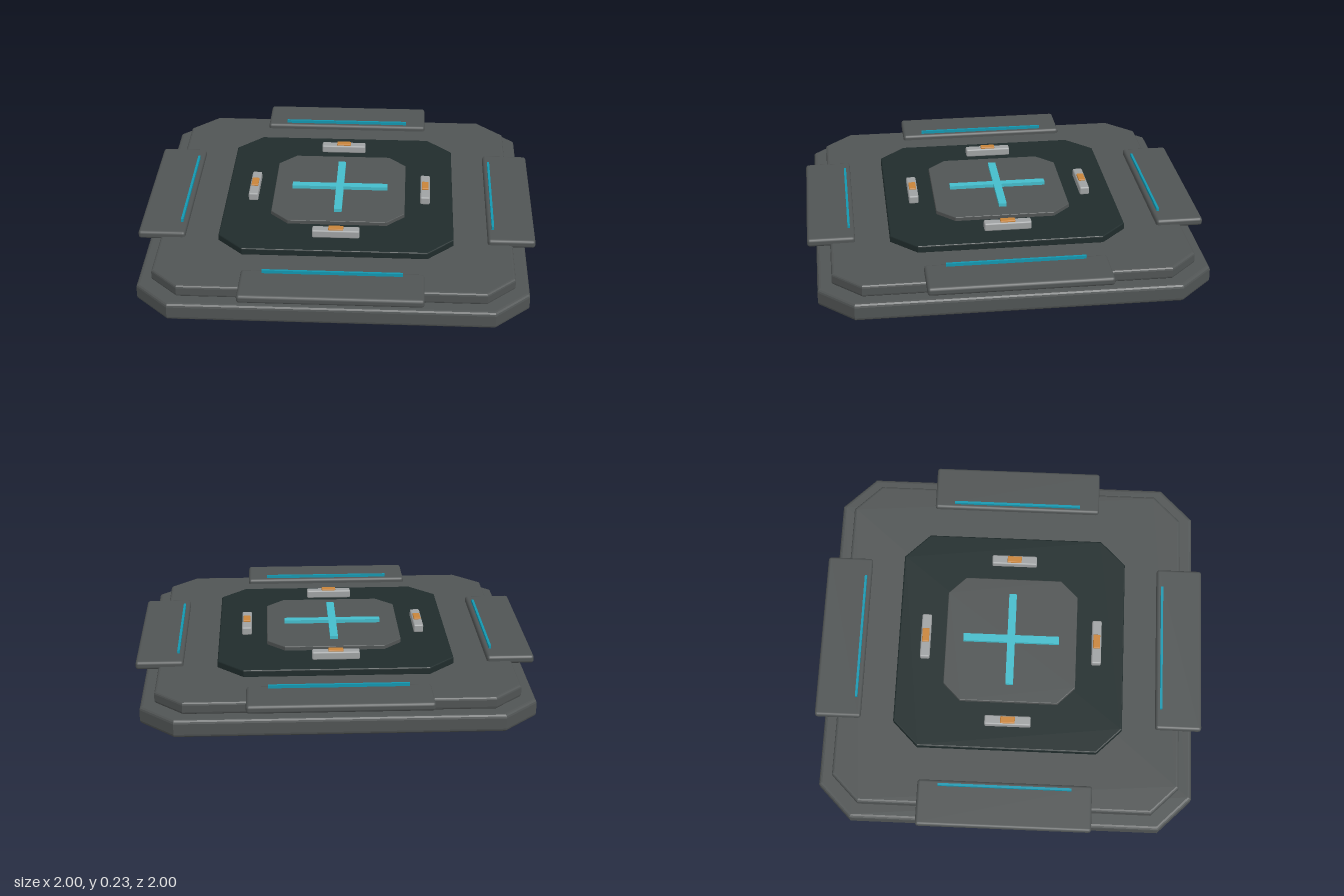
import * as THREE from 'three';
import { RoundedBoxGeometry } from 'three/addons/geometries/RoundedBoxGeometry.js';

function material(name, color) {
  const m = new THREE.MeshStandardMaterial({ color });
  m.name = name;
  return m;
}

// Square slab with cut corners and softened rims, from y0 to y1
function slab(name, half, cut, y0, y1, bevel, mat) {
  const h = half - bevel;
  const c = cut - bevel * 0.59;
  const shape = new THREE.Shape([
    [h, -h + c], [h, h - c], [h - c, h], [-h + c, h],
    [-h, h - c], [-h, -h + c], [-h + c, -h], [h - c, -h],
  ].map(([x, y]) => new THREE.Vector2(x, y)));
  const geo = new THREE.ExtrudeGeometry(shape, {
    depth: y1 - y0 - 2 * bevel, bevelEnabled: true,
    bevelThickness: bevel, bevelSize: bevel, bevelSegments: 3,
  });
  geo.rotateX(-Math.PI / 2);
  geo.translate(0, y0 + bevel, 0);
  const mesh = new THREE.Mesh(geo, mat);
  mesh.name = name;
  return mesh;
}

// Box placed by its lower and upper heights; a radius rounds its edges
function block(name, w, d, y0, y1, z, mat, radius = 0) {
  const h = y1 - y0;
  const geo = radius
    ? new RoundedBoxGeometry(w, h, d, 2, radius)
    : new THREE.BoxGeometry(w, h, d);
  const mesh = new THREE.Mesh(geo, mat);
  mesh.name = name;
  mesh.position.set(0, (y0 + y1) / 2, z);
  return mesh;
}

export function createModel() {
  const grey = material('gunmetal grey', 0x505454);
  const dark = material('dark slate', 0x202c2c);
  const cyan = material('bright cyan', 0x45bccb);
  const teal = material('deep teal', 0x1397b0);
  const silver = material('light grey', 0x9fa2a3);
  const amber = material('amber', 0xc8843a);

  const model = new THREE.Group();
  model.name = 'landingPad';

  // Stacked platform
  model.add(
    slab('base', 0.957, 0.17, 0, 0.09, 0.018, grey),
    slab('upperDeck', 0.887, 0.14, 0.088, 0.15, 0.014, grey),
    slab('darkInlay', 0.59, 0.13, 0.145, 0.185, 0.007, dark),
    slab('centrePlate', 0.342, 0.09, 0.18, 0.206, 0.004, grey),
  );

  // Cross marker in the middle
  model.add(block('crossBarX', 0.5, 0.04, 0.2, 0.224, 0, cyan));
  for (const side of [-1, 1]) {
    model.add(block('crossBarZ', 0.04, 0.23, 0.2, 0.224, side * 0.135, cyan));
  }

  // One edge panel with light strip and one lamp on each of the four sides
  for (let i = 0; i < 4; i++) {
    const side = new THREE.Group();
    side.name = 'edgeSide';
    side.rotation.y = i * Math.PI / 2;
    side.add(
      block('edgePanel', 0.89, 0.238, 0.135, 0.177, 0.881, grey, 0.015),
      block('lightStrip', 0.68, 0.012, 0.172, 0.193, 0.79, teal),
      block('lampHousing', 0.238, 0.05, 0.183, 0.226, 0.447, silver, 0.008),
      block('lampLens', 0.075, 0.036, 0.215, 0.234, 0.447, amber, 0.004),
    );
    model.add(side);
  }
  return model;
}
